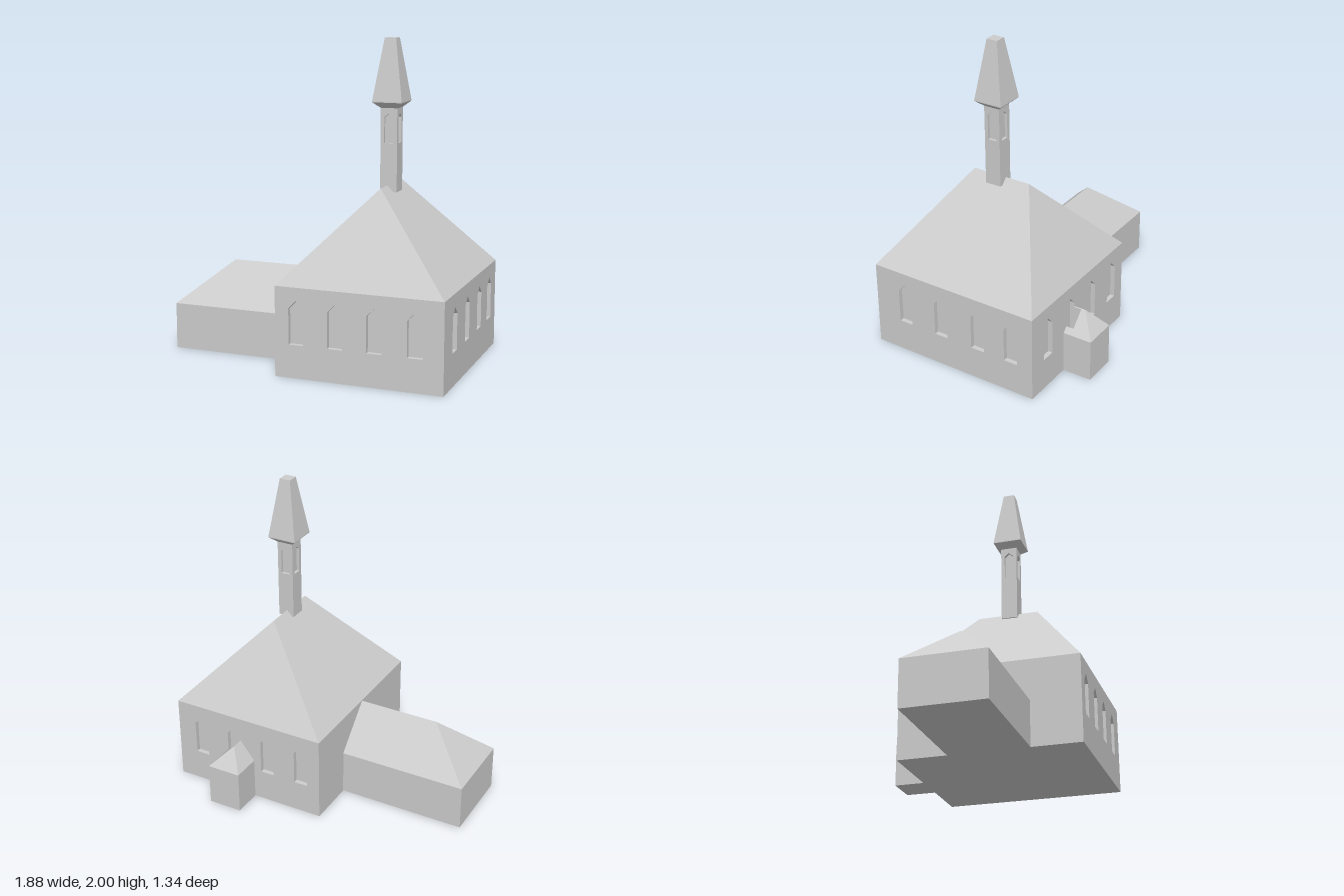
import * as THREE from 'three';

const stone = new THREE.MeshStandardMaterial({ color: 0xcccccc });
stone.name = 'paleGrey';

function add(parent, name, geometry) {
  const mesh = new THREE.Mesh(geometry, stone);
  mesh.name = name;
  parent.add(mesh);
  return mesh;
}

// Axis-aligned box given by its limits
function box(x0, x1, y0, y1, z0, z1) {
  return new THREE.BoxGeometry(x1 - x0, y1 - y0, z1 - z0)
    .translate((x0 + x1) / 2, (y0 + y1) / 2, (z0 + z1) / 2);
}

// Four sloping sides and a lid between two rectangles [x0, x1, z0, z1];
// a top rectangle without width becomes a ridge
function taper(bottom, y0, top, y1) {
  const ring = ([x0, x1, z0, z1], y) => [[x0, y, z1], [x1, y, z1], [x1, y, z0], [x0, y, z0]];
  const a = ring(bottom, y0), b = ring(top, y1), pos = [];
  const quad = (p, q, r, s) => pos.push(...p, ...q, ...r, ...p, ...r, ...s);
  for (let i = 0; i < 4; i++) {
    const j = (i + 1) % 4;
    const same = b[i].every((v, k) => v === b[j][k]);
    if (same) pos.push(...a[i], ...a[j], ...b[i]);
    else quad(a[i], a[j], b[j], b[i]);
  }
  if (top[0] !== top[1] && top[2] !== top[3]) quad(...b);
  const g = new THREE.BufferGeometry();
  g.setAttribute('position', new THREE.Float32BufferAttribute(pos, 3));
  g.computeVertexNormals();
  return g;
}

// Wall slab pierced by pointed windows; its outer face lies at z = out
function piercedWall(u0, u1, y0, y1, out, depth, centres, win) {
  const wall = new THREE.Shape([[u0, y0], [u1, y0], [u1, y1], [u0, y1]].map(p => new THREE.Vector2(...p)));
  for (const c of centres) {
    wall.holes.push(new THREE.Path([
      [c - win.half, win.sill], [c - win.half, win.shoulder], [c, win.peak],
      [c + win.half, win.shoulder], [c + win.half, win.sill],
    ].map(p => new THREE.Vector2(...p))));
  }
  return new THREE.ExtrudeGeometry(wall, { depth, bevelEnabled: false }).translate(0, 0, out - depth);
}

// Upright block over a plan outline of [x, z] points, its top following height(x, z)
function planBlock(outline, height) {
  const shape = new THREE.Shape(outline.map(([x, z]) => new THREE.Vector2(x, -z)));
  const g = new THREE.ExtrudeGeometry(shape, { depth: 1, bevelEnabled: false }).rotateX(-Math.PI / 2);
  const p = g.attributes.position;
  for (let i = 0; i < p.count; i++) {
    if (p.getY(i) > 0.5) p.setY(i, height(p.getX(i), p.getZ(i)));
  }
  g.computeVertexNormals();
  return g;
}

export function createModel() {
  const church = new THREE.Group();
  church.name = 'church';

  // Nave: core, three walls with recessed windows, hipped roof
  const nave = new THREE.Group();
  nave.name = 'nave';
  church.add(nave);
  const X0 = -0.11, X1 = 0.937, Z0 = -0.48, Z1 = 0.672, EAVE = 0.556, D = 0.03;
  const win = { half: 0.047, sill: 0.205, shoulder: 0.425, peak: 0.474 };
  const alongX = [0.024, 0.27, 0.514, 0.763];
  const alongZ = [0.453, 0.184, -0.088, -0.327];
  add(nave, 'naveCore', box(X0, X1 - D, 0, EAVE, Z0 + D, Z1 - D));
  add(nave, 'frontWall', piercedWall(X0, X1, 0, EAVE, Z1, D, alongX, win));
  add(nave, 'backWall', piercedWall(-X1, -X0, 0, EAVE, -Z0, D, alongX.map(x => -x), win)).rotation.y = Math.PI;
  add(nave, 'sideWall', piercedWall(-Z1, -Z0, 0, EAVE, X1, D, alongZ.map(z => -z), win)).rotation.y = Math.PI / 2;
  add(nave, 'naveRoof', taper([X0, X1, Z0, Z1], EAVE, [0.413, 0.413, -0.12, 0.277], 1.11));

  // Low wing with a roof hipped at its outer end
  const wing = new THREE.Group();
  wing.name = 'wing';
  church.add(wing);
  add(wing, 'wingWalls', box(-0.942, X0, 0, 0.293, -0.16, 0.355));
  add(wing, 'wingRoof', taper([-0.942, X0, -0.16, 0.355], 0.293, [-0.641, X0, 0.097, 0.097], 0.551));

  // Back porch: hipped roof, notched where it meets the window behind it
  const porch = new THREE.Group();
  porch.name = 'porch';
  church.add(porch);
  const L = 0.368, R = 0.589, B = -0.67, ridgeX = 0.465, ridgeZ = -0.557, low = 0.272, high = 0.397;
  const n0 = 0.469, n1 = 0.558, nz = -0.53;
  const rise = high - low;
  add(porch, 'porchRightHalf', planBlock([[L, B], [ridgeX, ridgeZ], [ridgeX, Z0], [L, Z0]],
    x => low + rise * (x - L) / (ridgeX - L)));
  add(porch, 'porchLeftHalf', planBlock(
    [[R, B], [R, Z0], [n1, Z0], [n1, nz], [n0, nz], [n0, Z0], [ridgeX, Z0], [ridgeX, ridgeZ]],
    x => low + rise * (R - x) / (R - ridgeX)));
  add(porch, 'porchEnd', planBlock([[L, B], [R, B], [ridgeX, ridgeZ]],
    (x, z) => low + rise * (z - B) / (ridgeZ - B)));
  add(porch, 'notchFloor', box(n0, n1, 0, win.sill, nz, Z0));

  // Bell tower: four pierced sides, flared cornice, truncated spire
  const tower = new THREE.Group();
  tower.name = 'tower';
  tower.position.set(0.419, 0, 0.1);
  church.add(tower);
  const H = 0.053, T = 0.018, base = 1.07, top = 1.581;
  const bell = { half: 0.029, sill: 1.368, shoulder: 1.523, peak: 1.547 };
  add(tower, 'towerCore', box(T - H, H - T, base, top, T - H, H - T));
  for (let i = 0; i < 4; i++) {
    add(tower, 'towerWall', piercedWall(-H, H, base, top, H, T, [0], bell)).rotation.y = i * Math.PI / 2;
  }
  const square = h => [-h, h, -h, h];
  add(tower, 'cornice', taper(square(H), top, square(0.094), 1.616));
  add(tower, 'corniceEdge', taper(square(0.094), 1.616, square(0.094), 1.622));
  add(tower, 'spire', taper(square(0.094), 1.622, square(0.036), 2));

  return church;
}
